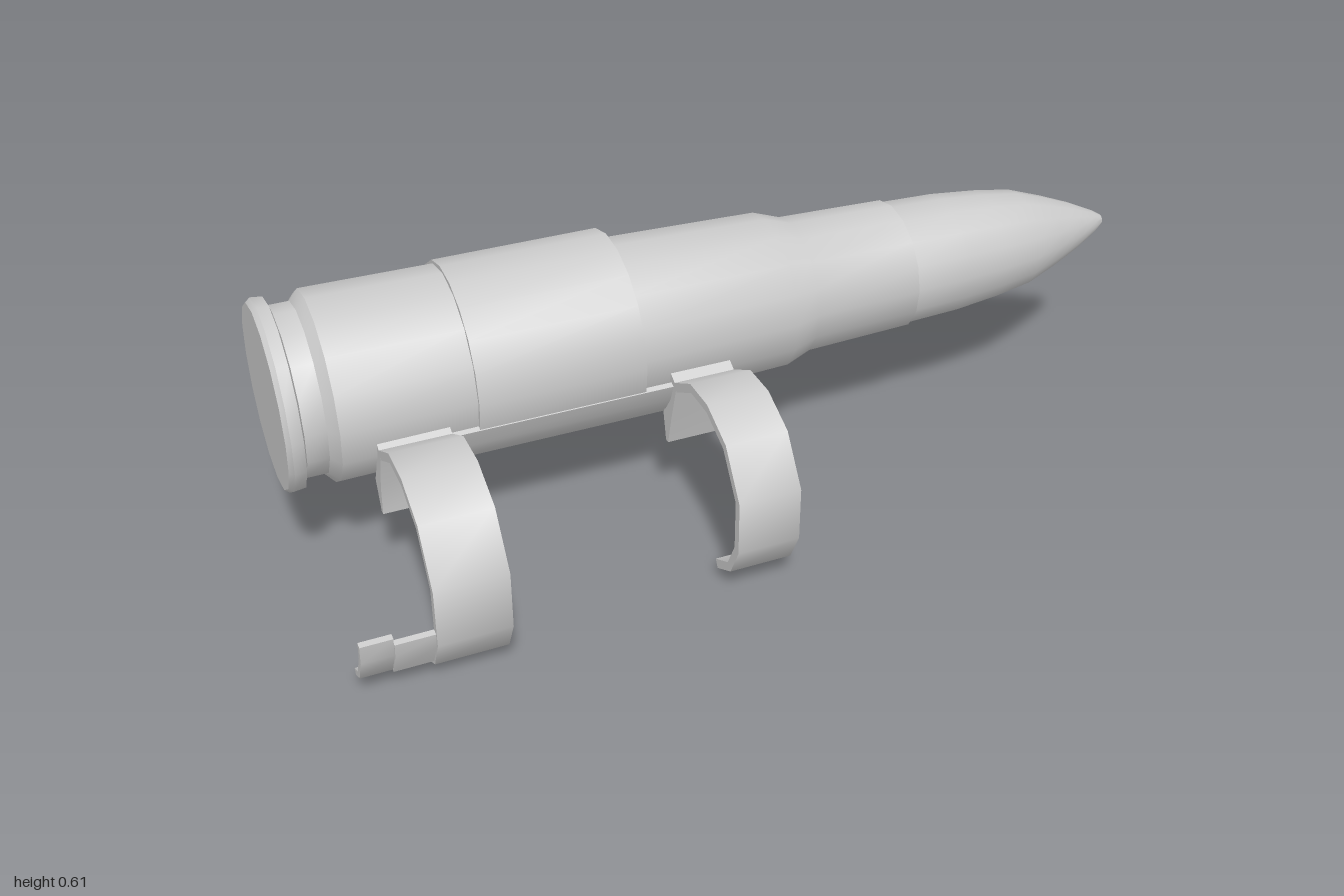
import * as THREE from 'three';
import { toCreasedNormals } from 'three/addons/utils/BufferGeometryUtils.js';

const AXIS_Y = 0.403, AXIS_Z = -0.18;
const material = new THREE.MeshStandardMaterial({ color: 0xcccccc, side: THREE.DoubleSide });

function addMesh(parent, name, geometry, crease = 0.6) {
  const mesh = new THREE.Mesh(toCreasedNormals(geometry, crease), material);
  mesh.name = name;
  parent.add(mesh);
  return mesh;
}

// Solid of revolution along x, from [x, radius] pairs
function turned(profile) {
  const g = new THREE.LatheGeometry(profile.map(([x, r]) => new THREE.Vector2(r, x)), 16);
  g.rotateZ(-Math.PI / 2);
  g.translate(0, AXIS_Y, AXIS_Z);
  return g;
}

// Outline given as [z, y], extruded along x from x0 to x1
function extrudeX(outline, x0, x1) {
  const shape = new THREE.Shape(outline.map(([z, y]) => new THREE.Vector2(-z, y)));
  const g = new THREE.ExtrudeGeometry(shape, { depth: x1 - x0, bevelEnabled: false });
  g.rotateY(Math.PI / 2);
  g.translate(x0, 0, 0);
  return g;
}

// Bent sheet following a [z, y] path
function sheet(path, thickness, x0, x1) {
  const left = [], right = [];
  path.forEach(([z, y], i) => {
    const a = path[Math.max(i - 1, 0)], b = path[Math.min(i + 1, path.length - 1)];
    const dz = b[0] - a[0], dy = b[1] - a[1], k = thickness / 2 / Math.hypot(dz, dy);
    left.push([z - dy * k, y + dz * k]);
    right.push([z + dy * k, y - dz * k]);
  });
  return extrudeX([...left, ...right.reverse()], x0, x1);
}

// Arc around the cartridge axis; 0 degrees is the front, 90 the top
function arc(from, to, radius, steps) {
  return Array.from({ length: steps + 1 }, (_, i) => {
    const a = THREE.MathUtils.degToRad(from + (to - from) * i / steps);
    return [AXIS_Z + radius * Math.cos(a), AXIS_Y + radius * Math.sin(a)];
  });
}

export function createModel() {
  const model = new THREE.Group();
  model.name = 'cartridgeWithClips';

  // Cartridge
  const cartridge = new THREE.Group();
  cartridge.name = 'cartridge';
  model.add(cartridge);
  addMesh(cartridge, 'case', turned([
    [-0.995, 0], [-0.995, 0.195], [-0.985, 0.203], [-0.96, 0.2], [-0.955, 0.181],
    [-0.91, 0.181], [-0.89, 0.203], [-0.61, 0.2], [-0.25, 0.185], [0.11, 0.175],
    [0.17, 0.154], [0.42, 0.147], [0.42, 0.135]
  ]));
  addMesh(cartridge, 'bullet', turned([
    [0.4, 0.143], [0.55, 0.138], [0.66, 0.127], [0.75, 0.113], [0.83, 0.085],
    [0.9, 0.057], [0.96, 0.028], [0.985, 0.012], [0.99, 0]
  ]));

  // Band wrapped over the case and the web joining it to the clips
  const holder = new THREE.Group();
  holder.name = 'holder';
  model.add(holder);
  addMesh(holder, 'band', sheet(arc(-58, 190, 0.2, 13), 0.015, -0.61, -0.25));
  addMesh(holder, 'web', sheet(arc(-18, -58, 0.203, 3), 0.012, -0.68, -0.18));

  // Hooked clips with a short tab hanging behind each one
  const hookPath = [[0.03, 0.342], [0.12, 0.39], [0.21, 0.39], [0.305, 0.348],
    [0.373, 0.245], [0.366, 0.12], [0.325, 0.048], [0.255, 0.01]];
  const clips = [
    { name: 'rearClip', x0: -0.82, x1: -0.67, scale: 1, tabZ: -0.015 },
    { name: 'frontClip', x0: -0.19, x1: -0.055, scale: 0.94, tabZ: -0.028 }
  ];
  for (const { name, x0, x1, scale, tabZ } of clips) {
    const clip = new THREE.Group();
    clip.name = name;
    holder.add(clip);
    const path = hookPath.map(([z, y]) =>
      [0.03 + (z - 0.03) * scale, 0.342 + (y - 0.342) * scale]);
    addMesh(clip, 'hook', sheet(path, 0.02, x0, x1), 0.9);
    addMesh(clip, 'tab', extrudeX([[0.035, 0.345], [0.005, 0.363], [-0.015, 0.29],
      [-0.045, 0.24], [tabZ - 0.006, 0.175], [tabZ + 0.006, 0.175], [0, 0.245]], x0, x1));
  }

  // Side latch on the rear clip: narrow neck and flared end
  addMesh(holder, 'latchNeck', sheet(
    [[0.365, 0.145], [0.36, 0.115], [0.322, 0.05]], 0.014, -0.9, -0.81), 0.9);
  addMesh(holder, 'latchEnd', sheet(
    [[0.362, 0.158], [0.355, 0.115], [0.32, 0.055], [0.285, 0.037]], 0.014, -0.965, -0.9), 0.9);

  return model;
}
